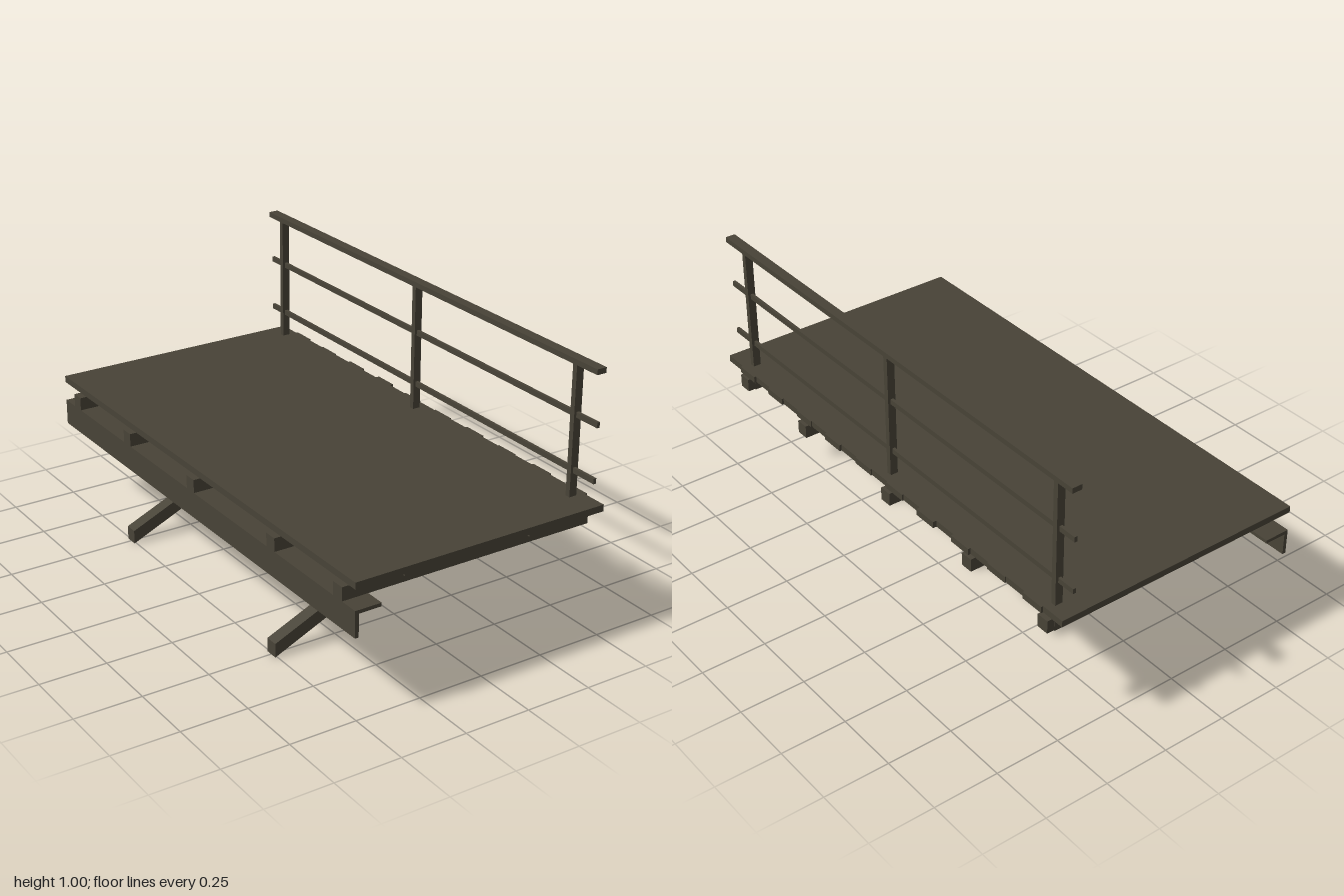
import * as THREE from 'three';

export function createModel() {
  const model = new THREE.Group();
  const wood = new THREE.MeshStandardMaterial({ color: 0x484337 });
  wood.name = 'dark weathered wood';

  // Box given by its minimum and maximum along each axis
  function box(name, x0, x1, y0, y1, z0, z1) {
    const mesh = new THREE.Mesh(new THREE.BoxGeometry(x1 - x0, y1 - y0, z1 - z0), wood);
    mesh.position.set((x0 + x1) / 2, (y0 + y1) / 2, (z0 + z1) / 2);
    mesh.name = name;
    model.add(mesh);
  }

  // Deck planks, every second one running slightly past the edge
  const count = 21, width = 2 / count;
  const overhang = [0.008, 0.005, 0.01, 0.014, 0.006, 0.005, 0.008, 0.005, 0.008, 0.009];
  for (let i = 0; i < count; i++) {
    const extra = i % 2 ? overhang[(i - 1) / 2] : 0;
    box('deckPlank', -0.507, 0.493 + extra, 0.475, 0.5, -1 + i * width, -1 + (i + 1) * width);
  }

  // Flat battens under the deck
  for (const x of [-0.25, 0.25]) box('batten', x - 0.05, x + 0.05, 0.45, 0.475, -0.973, 0.973);

  // Cross beams
  for (const z of [0.901, 0.502, -0.029, -0.498, -0.901]) {
    box('crossBeam', -0.507, 0.492, 0.4, 0.45, z - 0.025, z + 0.025);
  }

  // Angle ledger along the wall side
  box('ledgerPlate', -0.507, -0.493, 0.302, 0.4, -1, 1);
  box('ledgerFlange', -0.493, -0.407, 0.387, 0.4, -1, 1);

  // Diagonal braces
  const profile = new THREE.Shape([
    new THREE.Vector2(-0.507, 0), new THREE.Vector2(0.39, 0.4),
    new THREE.Vector2(0.285, 0.4), new THREE.Vector2(-0.507, 0.052),
  ]);
  const braceGeometry = new THREE.ExtrudeGeometry(profile, { depth: 0.05, bevelEnabled: false });
  for (const z of [0.502, -0.498]) {
    const brace = new THREE.Mesh(braceGeometry, wood);
    brace.position.z = z - 0.025;
    brace.name = 'diagonalBrace';
    model.add(brace);
  }

  // Railing: posts, handrail and two thin rails
  for (const z of [0.885, -0.013, -0.917]) {
    box('railingPost', 0.432, 0.462, 0.397, 0.98, z - 0.01, z + 0.01);
  }
  box('handrail', 0.428, 0.466, 0.98, 1, -1, 1);
  for (const y of [0.8, 0.598]) box('middleRail', 0.441, 0.452, y - 0.01, y + 0.01, -1, 1);

  return model;
}
